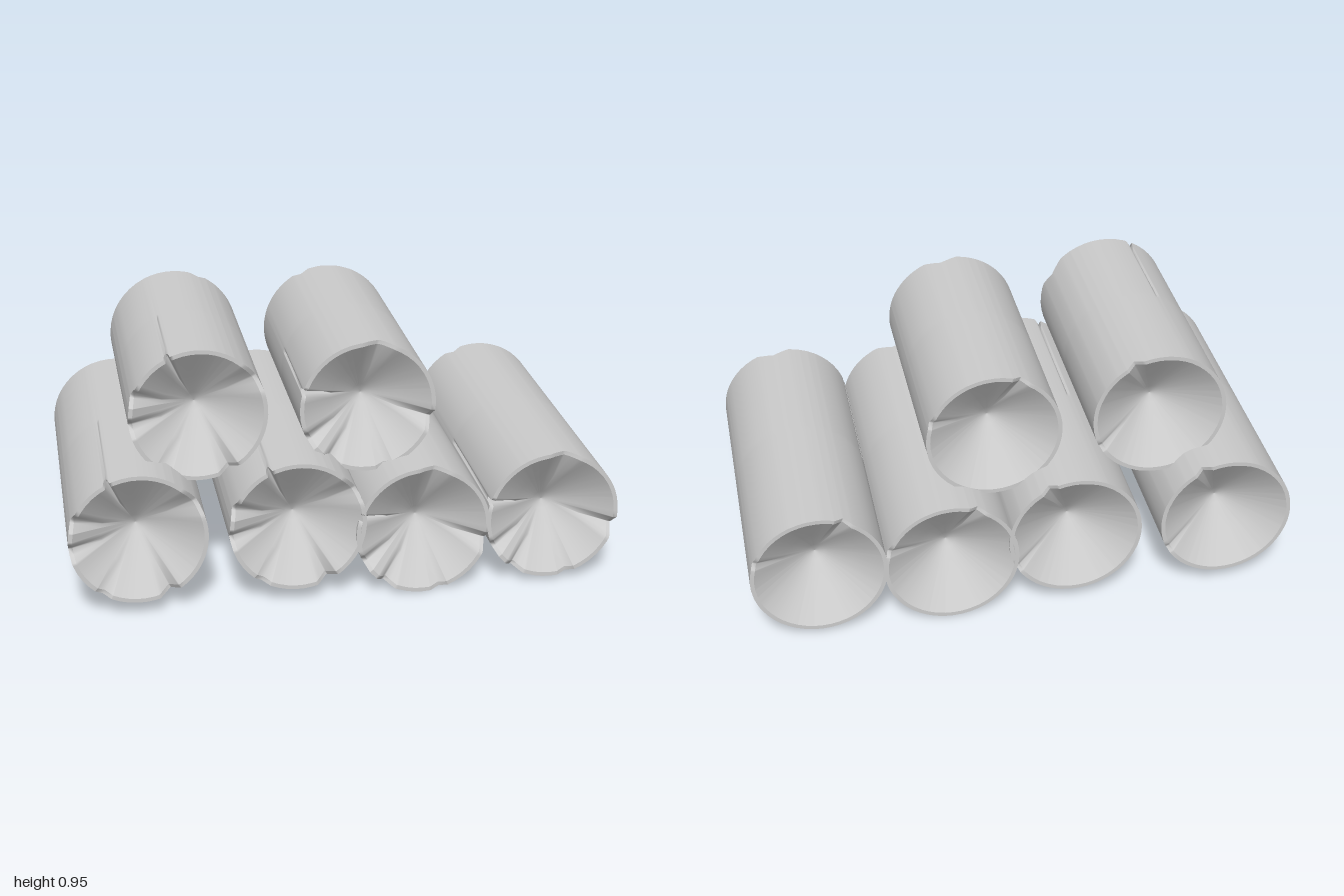
import * as THREE from 'three';
import { mergeGeometries } from 'three/addons/utils/BufferGeometryUtils.js';

const R = 0.247, INNER = 0.232, HOLLOW = 0.15, CRACK = 163;

// Chips broken out of the ends: [angle in degrees, half width in degrees, depth]
const frontChips = [[-16, 10, 0.05], [80, 15, 0.03], [CRACK, 3, 0.07], [208, 9, 0.04], [236, 9, 0.045], [285, 8, 0.02]];
const backChips = [[114, 8, 0.025], [20, 6, 0.015]];

const angleGap = (a, b) => Math.abs(((a - b + 540) % 360 + 360) % 360 - 180);
const chipDepth = (chips, a) =>
  chips.reduce((d, [c, w, depth]) => Math.max(d, depth * (1 - angleGap(a, c) / w)), 0);

// Angles around the pipe, with extra ones on every chip corner and the crack
function makeAngles() {
  const set = new Set();
  for (let i = 0; i < 48; i++) set.add(i * 7.5);
  for (const [c, w] of [...frontChips, ...backChips])
    for (const a of [c - w, c, c + w]) set.add((a + 360) % 360);
  for (const a of [CRACK - 1.5, CRACK + 1.5]) set.add(a);
  return [...set].sort((a, b) => a - b);
}

// Smooth skin through rings; each ring is a function angle -> [radius, z], listed back to front on the outside
function skin(rings, angles) {
  const n = angles.length, pos = [], index = [];
  for (const ring of rings) {
    for (const a of angles) {
      const [r, z] = ring(a), t = THREE.MathUtils.degToRad(a);
      pos.push(r * Math.cos(t), r * Math.sin(t), z);
    }
  }
  for (let k = 0; k < rings.length - 1; k++) {
    for (let i = 0; i < n; i++) {
      const j = (i + 1) % n;
      const a = k * n + i, b = k * n + j, c = a + n, d = b + n;
      index.push(a, b, d, a, d, c);
    }
  }
  const g = new THREE.BufferGeometry();
  g.setAttribute('position', new THREE.Float32BufferAttribute(pos, 3));
  g.setIndex(index);
  g.computeVertexNormals();
  return g;
}

function pipeGeometry(half) {
  const angles = makeAngles();
  const front = a => half - chipDepth(frontChips, a);
  const back = a => -half + chipDepth(backChips, a);
  const groove = a => (angleGap(a, CRACK) < 0.5 ? R - 0.01 : R);

  // Outer wall, with a crack running back from the front end
  const wall = skin([
    a => [R, back(a)],
    a => [R, -half + 0.06],
    a => [R, 0],
    a => [groove(a), 0.03],
    a => [groove(a), half - 0.1],
    a => [groove(a), front(a)],
  ], angles);

  // Rims and shallow conical hollows at both ends
  const frontRim = skin([a => [groove(a), front(a)], a => [INNER, front(a)]], angles);
  const backRim = skin([a => [INNER, back(a)], a => [R, back(a)]], angles);
  const frontHollow = skin([
    a => [INNER, front(a)],
    () => [INNER * 0.55, half - HOLLOW * 0.5],
    () => [INNER * 0.15, half - HOLLOW * 0.92],
    () => [0.0005, half - HOLLOW],
  ], angles);
  const backHollow = skin([
    () => [0.0005, -half + HOLLOW],
    () => [INNER * 0.15, -half + HOLLOW * 0.92],
    () => [INNER * 0.55, -half + HOLLOW * 0.5],
    a => [INNER, back(a)],
  ], angles);
  return mergeGeometries([wall, frontRim, backRim, frontHollow, backHollow]);
}

export function createModel() {
  const group = new THREE.Group();
  group.name = 'pipeStack';
  const material = new THREE.MeshStandardMaterial({ color: 0xcccccc, side: THREE.DoubleSide });
  const long = pipeGeometry(0.567), short = pipeGeometry(0.435);

  // [name, geometry, x, y, roll in degrees]
  const pipes = [
    ['lowerPipe1', long, -0.753, 0.302, -48],
    ['lowerPipe2', long, -0.185, 0.302, -48],
    ['lowerPipe3', long, 0.272, 0.248, 0],
    ['lowerPipe4', long, 0.753, 0.267, 0],
    ['upperPipe1', short, -0.517, 0.702, -48],
    ['upperPipe2', short, 0.09, 0.69, 0],
  ];
  for (const [name, geometry, x, y, roll] of pipes) {
    const pipe = new THREE.Mesh(geometry, material);
    pipe.name = name;
    pipe.position.set(x, y, 0);
    pipe.rotation.z = THREE.MathUtils.degToRad(roll);
    group.add(pipe);
  }
  return group;
}
